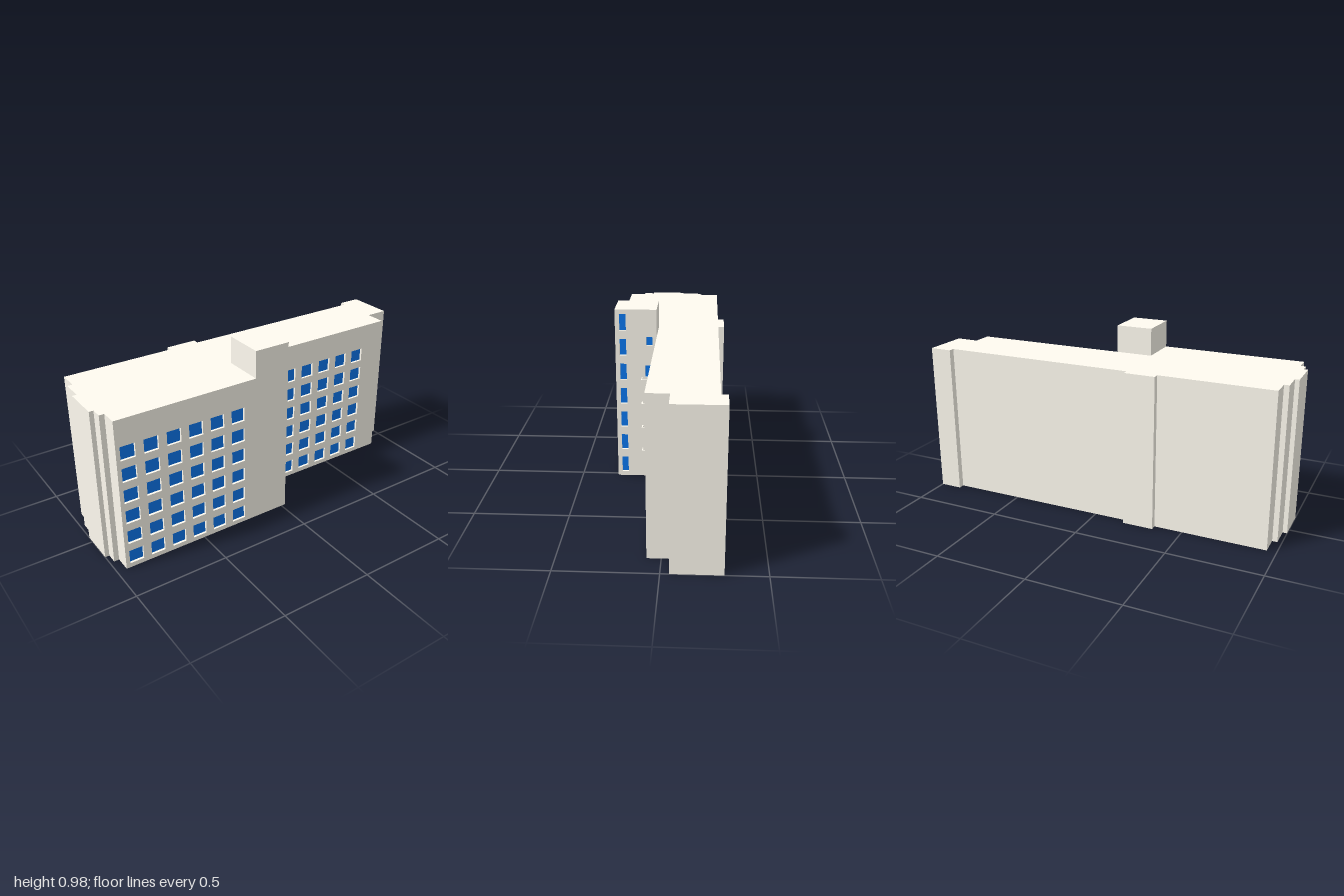
import * as THREE from 'three';

const wallMat = new THREE.MeshStandardMaterial({ color: 0xfffbf0 });
const glassMat = new THREE.MeshStandardMaterial({ color: 0x0a78f0 });

const H = 0.832;     // roof height
const TOP = 0.98;    // tower height
const D = 0.016;     // facade thickness = window recess

const toShape = pts => new THREE.Shape(pts.map(([x, y]) => new THREE.Vector2(x, y)));

function add(parent, name, geometry, material = wallMat) {
  const mesh = new THREE.Mesh(geometry, material);
  mesh.name = name;
  parent.add(mesh);
  return mesh;
}

function box(parent, name, [x0, x1], [y0, y1], [z0, z1]) {
  add(parent, name, new THREE.BoxGeometry(x1 - x0, y1 - y0, z1 - z0))
    .position.set((x0 + x1) / 2, (y0 + y1) / 2, (z0 + z1) / 2);
}

// Extrude a horizontal outline, given as [x, z], upwards
function prism(pts, height) {
  return new THREE.ExtrudeGeometry(toShape(pts.map(([x, z]) => [x, -z])),
    { depth: height, bevelEnabled: false }).rotateX(-Math.PI / 2);
}

// Wall slab with openings and recessed panes; windows are [centreU, centreY, width, height]
function facade(name, outline, windows) {
  const group = new THREE.Group();
  group.name = name;
  const shape = toShape(outline);
  for (const [u, y, w, h] of windows) {
    const a = w / 2, b = h / 2;
    shape.holes.push(toShape([[u - a, y - b], [u - a, y + b], [u + a, y + b], [u + a, y - b]]));
    add(group, 'windowPane', new THREE.PlaneGeometry(w, h), glassMat).position.set(u, y, 0.003);
  }
  add(group, 'wall', new THREE.ExtrudeGeometry(shape, { depth: D, bevelEnabled: false }));
  return group;
}

function windowGrid(firstX) {
  const list = [];
  for (let c = 0; c < 6; c++)
    for (let r = 0; r < 6; r++) list.push([firstX + c * 0.1215, 0.062 + r * 0.1183, 0.077, 0.075]);
  return list;
}

export function createModel() {
  const model = new THREE.Group();
  model.name = 'apartmentBlock';
  const front = 0.295, wing = 0.07, side = 0.023, end = 0.876;

  // Main block with stepped left end and rear projections
  add(model, 'mainBlock', prism([
    [-0.95, front - D], [side - D, front - D], [side - D, wing - D], [end, wing - D],
    [end, -0.042], [1, -0.042], [1, -0.295], [0.878, -0.295], [0.878, -0.262],
    [-0.18, -0.262], [-0.18, -0.295], [-0.347, -0.295], [-0.347, -0.262],
    [-0.95, -0.262], [-0.95, -0.155], [-0.977, -0.155], [-0.977, -0.042],
    [-1, -0.042], [-1, 0.152], [-0.977, 0.152], [-0.977, 0.209], [-0.95, 0.209],
  ], H));

  // Stair tower rising above the roof
  box(model, 'towerTop', [-0.175, side - D], [H, TOP], [wing, front - D]);

  // Front facade of the projecting wing, including the tower face
  const frontFacade = facade('frontFacade', [
    [-0.95, 0], [side, 0], [side, TOP], [-0.175, TOP], [-0.175, H], [-0.95, H],
  ], windowGrid(-0.89));
  frontFacade.position.z = front - D;
  model.add(frontFacade);

  // Front facade of the set-back wing
  const wingFacade = facade('wingFacade', [
    [side - D, 0], [end, 0], [end, H], [side - D, H],
  ], windowGrid(0.087));
  wingFacade.position.z = wing - D;
  model.add(wingFacade);

  // Tower side: stair windows, balcony doors and a small top window
  const balconyFloors = [0.14, 0.28, 0.421, 0.562];
  const sideWindows = [[-0.11, 0.805, 0.035, 0.047]];
  for (let i = 0; i < 7; i++) sideWindows.push([-0.254, 0.07 + i * 0.14, 0.036, 0.092]);
  for (const y of balconyFloors) sideWindows.push([-0.11, y + 0.072, 0.049, 0.066]);
  const towerSide = facade('towerSide', [
    [-(front - D), 0], [-wing, 0], [-wing, TOP], [-(front - D), TOP],
  ], sideWindows);
  towerSide.rotation.y = Math.PI / 2;
  towerSide.position.x = side - D;
  model.add(towerSide);

  // Small balconies in the inner corner: slab with a thin parapet
  for (const y of balconyFloors) {
    const balcony = new THREE.Group();
    balcony.name = 'balcony';
    const x1 = 0.061, z1 = 0.155, t = 0.007, top = y + 0.036;
    box(balcony, 'balconyFloor', [side, x1], [y, y + t], [wing, z1]);
    box(balcony, 'outerParapet', [x1 - t, x1], [y + t, top], [wing, z1]);
    box(balcony, 'frontParapet', [side, x1 - t], [y + t, top], [z1 - t, z1]);
    model.add(balcony);
  }
  return model;
}
